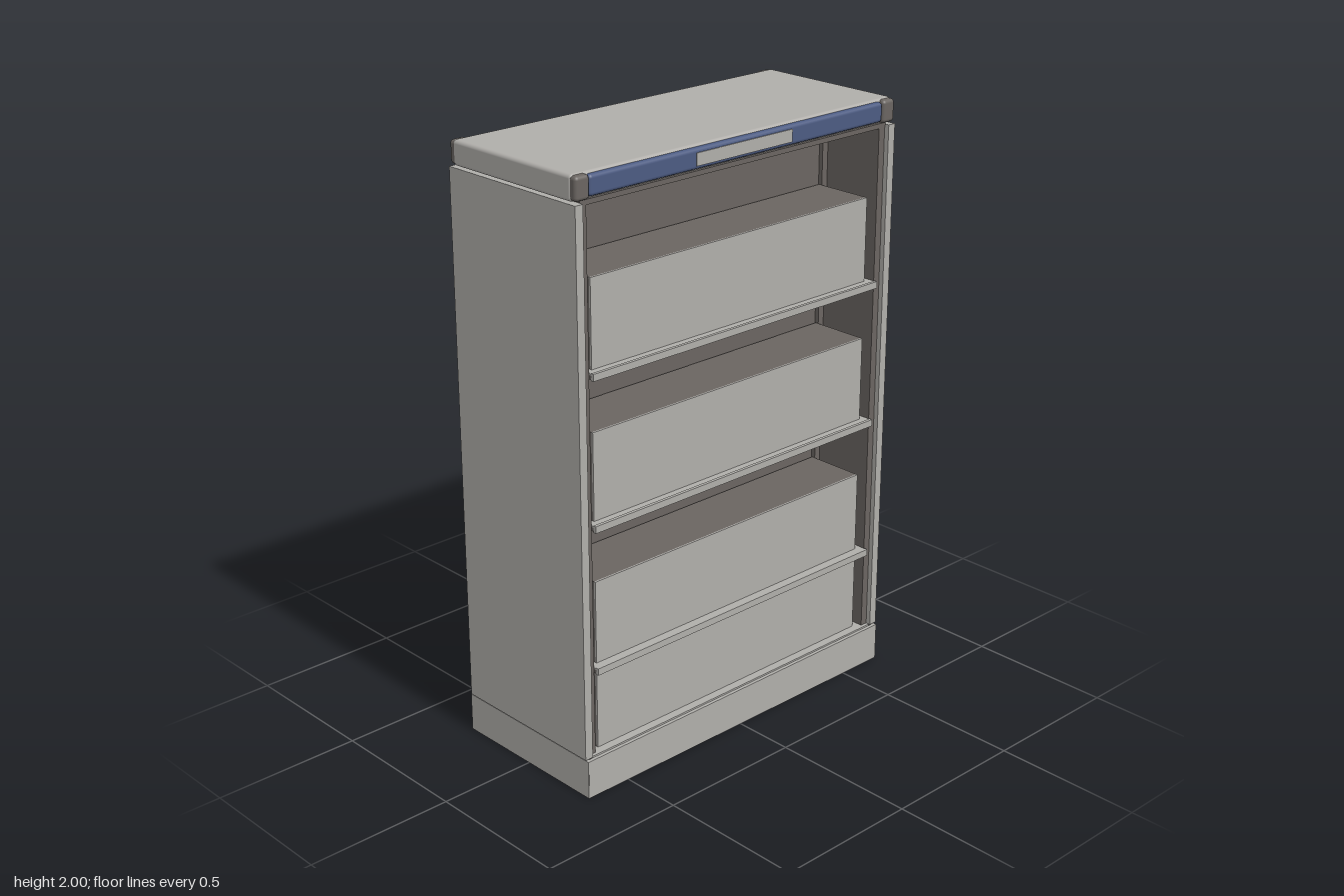
import * as THREE from 'three';
import { RoundedBoxGeometry } from 'three/addons/geometries/RoundedBoxGeometry.js';

function mat(name, color) {
  const m = new THREE.MeshStandardMaterial({ color });
  m.name = name;
  return m;
}

export function createModel() {
  const root = new THREE.Group();
  root.name = 'doubleSidedShelf';
  const grey = mat('light grey', 0xb0aeaa);
  const taupe = mat('dark taupe', 0x6a6561);
  const blue = mat('slate blue', 0x4c5b82);
  const black = mat('black', 0x2b2a29);

  const add = (parent, name, geo, material, x, y, z) => {
    const mesh = new THREE.Mesh(geo, material);
    mesh.name = name;
    mesh.position.set(x, y, z);
    parent.add(mesh);
    return mesh;
  };
  // box given by its limits on each axis
  const slab = (parent, name, material, [x0, x1], [y0, y1], [z0, z1]) =>
    add(parent, name, new THREE.BoxGeometry(x1 - x0, y1 - y0, z1 - z0), material,
      (x0 + x1) / 2, (y0 + y1) / 2, (z0 + z1) / 2);
  const rounded = (parent, name, material, [x0, x1], [y0, y1], [z0, z1], r) =>
    add(parent, name, new RoundedBoxGeometry(x1 - x0, y1 - y0, z1 - z0, 3, r), material,
      (x0 + x1) / 2, (y0 + y1) / 2, (z0 + z1) / 2);

  // core: central back panel and its head rail
  slab(root, 'backPanel', taupe, [-0.615, 0.615], [0.13, 1.91], [-0.035, 0.035]);
  slab(root, 'headRail', taupe, [-0.615, 0.615], [1.83, 1.91], [-0.045, 0.045]);
  slab(root, 'deck', grey, [-0.64, 0.64], [0.115, 0.135], [-0.28, 0.28]);
  slab(root, 'deckUnderside', taupe, [-0.64, 0.64], [0.108, 0.115], [-0.28, 0.28]);

  // canopy on top
  rounded(root, 'canopy', grey, [-0.668, 0.668], [1.92, 2], [-0.267, 0.267], 0.012);
  slab(root, 'canopyUnderside', taupe, [-0.64, 0.64], [1.905, 1.921], [-0.27, 0.27]);

  // lower frame under the deck
  slab(root, 'baseBeam', grey, [-0.64, 0.64], [0.06, 0.1], [-0.03, 0.03]);

  // everything that repeats on the front and the back
  for (const [label, turn] of [['front', 0], ['back', Math.PI]]) {
    const side = new THREE.Group();
    side.name = label + 'Half';
    side.rotation.y = turn;
    root.add(side);

    // canopy fascia with plain plaque and corner caps
    rounded(side, 'fascia', blue, [-0.613, 0.613], [1.928, 1.993], [0.25, 0.282], 0.012);
    slab(side, 'plaque', grey, [-0.2, 0.2], [1.94, 1.98], [0.277, 0.285]);
    for (const s of [-1, 1]) {
      const x = s < 0 ? [-0.666, -0.612] : [0.612, 0.666];
      rounded(side, 'cornerCap', taupe, x, [1.923, 1.997], [0.24, 0.285], 0.012);
    }

    // shelf boards with a light lip and a thin light top
    for (const y of [0.42, 0.9, 1.385]) {
      slab(side, 'shelfBoard', taupe, [-0.612, 0.612], [y - 0.005, y + 0.008], [0.03, 0.276]);
      slab(side, 'shelfTop', grey, [-0.612, 0.612], [y + 0.008, y + 0.013], [0.03, 0.276]);
      slab(side, 'shelfLip', grey, [-0.612, 0.612], [y - 0.008, y + 0.015], [0.274, 0.285]);
    }

    // blocks of stock: dark body with a light face
    for (const [y0, y1] of [[0.135, 0.41], [0.433, 0.71], [0.913, 1.2], [1.398, 1.68]]) {
      slab(side, 'stockBlock', taupe, [-0.588, 0.588], [y0, y1], [0.04, 0.244]);
      slab(side, 'stockFace', grey, [-0.588, 0.588], [y0, y1], [0.244, 0.25]);
    }

    // skirt, frame rail and feet
    slab(side, 'skirt', grey, [-0.663, 0.663], [0, 0.13], [0.281, 0.293]);
    slab(side, 'frameRail', black, [-0.65, 0.65], [0.01, 0.108], [0.255, 0.281]);
    for (const x of [-0.58, 0.58]) {
      add(side, 'footStem', new THREE.CylinderGeometry(0.01, 0.01, 0.1, 12), black, x, 0.055, 0.22);
      add(side, 'footPad', new THREE.CylinderGeometry(0.022, 0.025, 0.015, 16), black, x, 0.0075, 0.22);
    }
  }

  // side walls with dark liners and slotted uprights
  for (const s of [-1, 1]) {
    const span = (a, b) => (s < 0 ? [-b, -a] : [a, b]);
    const wall = new THREE.Group();
    wall.name = s < 0 ? 'rightWall' : 'leftWall';
    root.add(wall);
    slab(wall, 'sidePanel', grey, span(0.64, 0.669), [0.135, 1.915], [-0.285, 0.285]);
    slab(wall, 'sideLiner', taupe, span(0.614, 0.64), [0.135, 1.907], [-0.268, 0.268]);
    slab(wall, 'upright', taupe, span(0.59, 0.614), [0.135, 1.83], [-0.05, 0.05]);
    slab(wall, 'sideSkirt', grey, span(0.652, 0.665), [0, 0.13], [-0.292, 0.292]);
  }
  return root;
}
